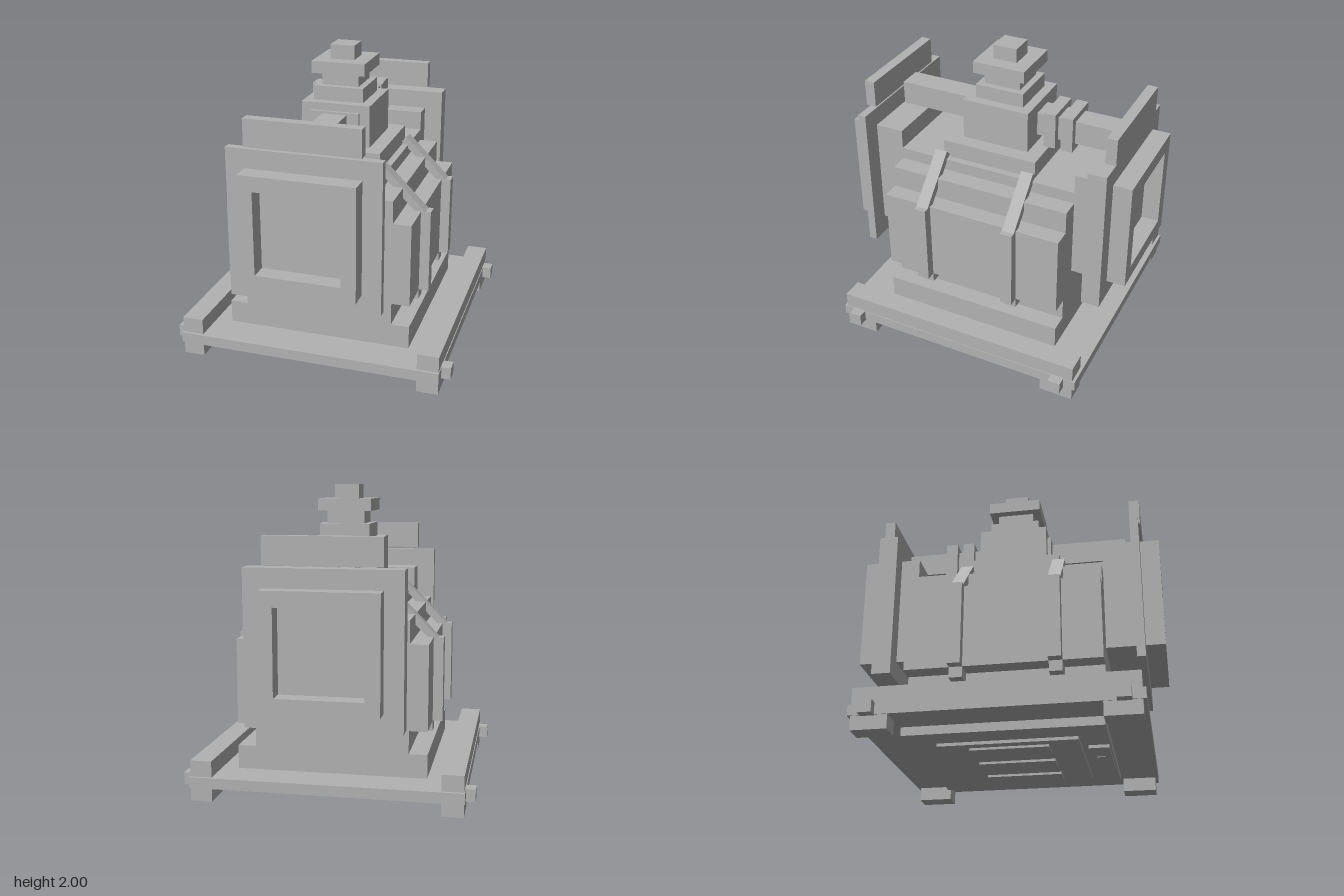
import * as THREE from 'three';

export function createModel() {
  const model = new THREE.Group();
  const grey = new THREE.MeshStandardMaterial({ color: 0xb2b2b2 });
  grey.name = 'plain grey';

  // Box given by its extents on each axis
  function box(name, [x0, x1], [y0, y1], [z0, z1]) {
    const mesh = new THREE.Mesh(new THREE.BoxGeometry(x1 - x0, y1 - y0, z1 - z0), grey);
    mesh.position.set((x0 + x1) / 2, (y0 + y1) / 2, (z0 + z1) / 2);
    mesh.name = name;
    model.add(mesh);
    return mesh;
  }
  const span = (h) => [-h, h];
  const side = (s, a, b) => (s > 0 ? [a, b] : [-b, -a]);

  // Base plate with its stepped underside
  box('basePlate', span(0.875), [0.09, 0.16], span(0.875));
  box('undersidePlate', span(0.62), [0.035, 0.09], span(0.62));
  box('undersidePanel', span(0.44), [0.015, 0.035], span(0.44));
  for (const x of [-0.3, 0, 0.3]) box('undersideBar', [x - 0.075, x + 0.075], [0, 0.015], span(0.25));
  box('undersideTag', span(0.25), [0.015, 0.035], [0.48, 0.61]);
  box('undersideTagStud', span(0.07), [0.01, 0.015], [0.52, 0.57]);

  // Rails, feet and side pegs
  for (const s of [-1, 1]) {
    box('rail', side(s, 0.73, 0.87), [0.16, 0.265], span(0.855));
    for (const t of [-1, 1]) {
      box('foot', side(s, 0.73, 0.87), [0, 0.09], side(t, 0.63, 0.855));
      box('peg', side(s, 0.87, 0.935), [0.085, 0.165], side(t, 0.71, 0.795));
    }
  }

  // Main body
  box('bodyFoot', span(0.62), [0.16, 0.315], span(0.625));
  box('body', span(0.5), [0.315, 1.17], span(0.625));
  box('bodyTop', span(0.375), [1.17, 1.25], span(0.625));

  // Side panels with straps wrapped around them
  for (const s of [-1, 1]) {
    box('sidePanel', side(s, 0.5, 0.62), [0.465, 1.02], span(0.625));
    for (const z of [-0.292, 0.332]) {
      const depth = [z - 0.042, z + 0.042];
      box('strap', side(s, 0.62, 0.685), [0.465, 1.02], depth);
      box('strapHook', side(s, 0.5, 0.62), [0.395, 0.465], depth);
      const slope = new THREE.Shape([
        [0.365, 1.305], [0.33, 1.27], [0.58, 1.02], [0.65, 1.02],
      ].map(([x, y]) => new THREE.Vector2(s * x, y)));
      const brace = new THREE.Mesh(
        new THREE.ExtrudeGeometry(slope, { depth: 0.084, bevelEnabled: false }), grey);
      brace.position.z = z - 0.042;
      brace.name = 'strapBrace';
      model.add(brace);
    }
  }

  // Stepped tower: half width, bottom, top
  for (const [name, h, y0, y1] of [
    ['towerBase', 0.33, 1.25, 1.365],
    ['tower', 0.232, 1.365, 1.645],
    ['towerStep', 0.168, 1.645, 1.74],
    ['towerNeck', 0.125, 1.74, 1.825],
    ['towerCap', 0.18, 1.825, 1.905],
    ['towerKnob', 0.082, 1.905, 2],
  ]) box(name, span(h), [y0, y1], span(h));

  // Square beams leaving the tower to front and back
  box('frontBeam', span(0.082), [1.42, 1.58], [0.23, 0.772]);
  box('backBeam', span(0.082), [1.42, 1.58], [-0.775, -0.23]);
  box('beamFlange', span(0.165), [1.405, 1.595], [0.23, 0.255]);
  for (const z of [-0.34, -0.46]) box('beamCollar', span(0.13), [1.375, 1.62], [z - 0.04, z + 0.04]);

  // Hollow window frames, end plates and top boards at both ends
  const frameShape = new THREE.Shape();
  frameShape.moveTo(-0.375, 0.63).lineTo(0.375, 0.63).lineTo(0.375, 1.38).lineTo(-0.375, 1.38).closePath();
  const hole = new THREE.Path();
  hole.moveTo(-0.28, 0.725).lineTo(-0.28, 1.28).lineTo(0.28, 1.28).lineTo(0.28, 0.725).closePath();
  frameShape.holes.push(hole);
  const frameGeometry = new THREE.ExtrudeGeometry(frameShape, { depth: 0.12, bevelEnabled: false });
  for (const t of [-1, 1]) {
    const frame = new THREE.Mesh(frameGeometry, grey);
    frame.position.z = t > 0 ? 0.88 : -1;
    frame.name = 'windowFrame';
    model.add(frame);
    box('windowBlock', span(0.375), [0.63, 1.38], side(t, 0.625, 0.88));
    box('endPlate', span(0.5), [0.505, 1.505], side(t, t > 0 ? 0.82 : 0.75, 0.875));
    box('topBoard', span(0.375), [1.52, 1.7], side(t, 0.815, 0.885));
  }
  return model;
}
